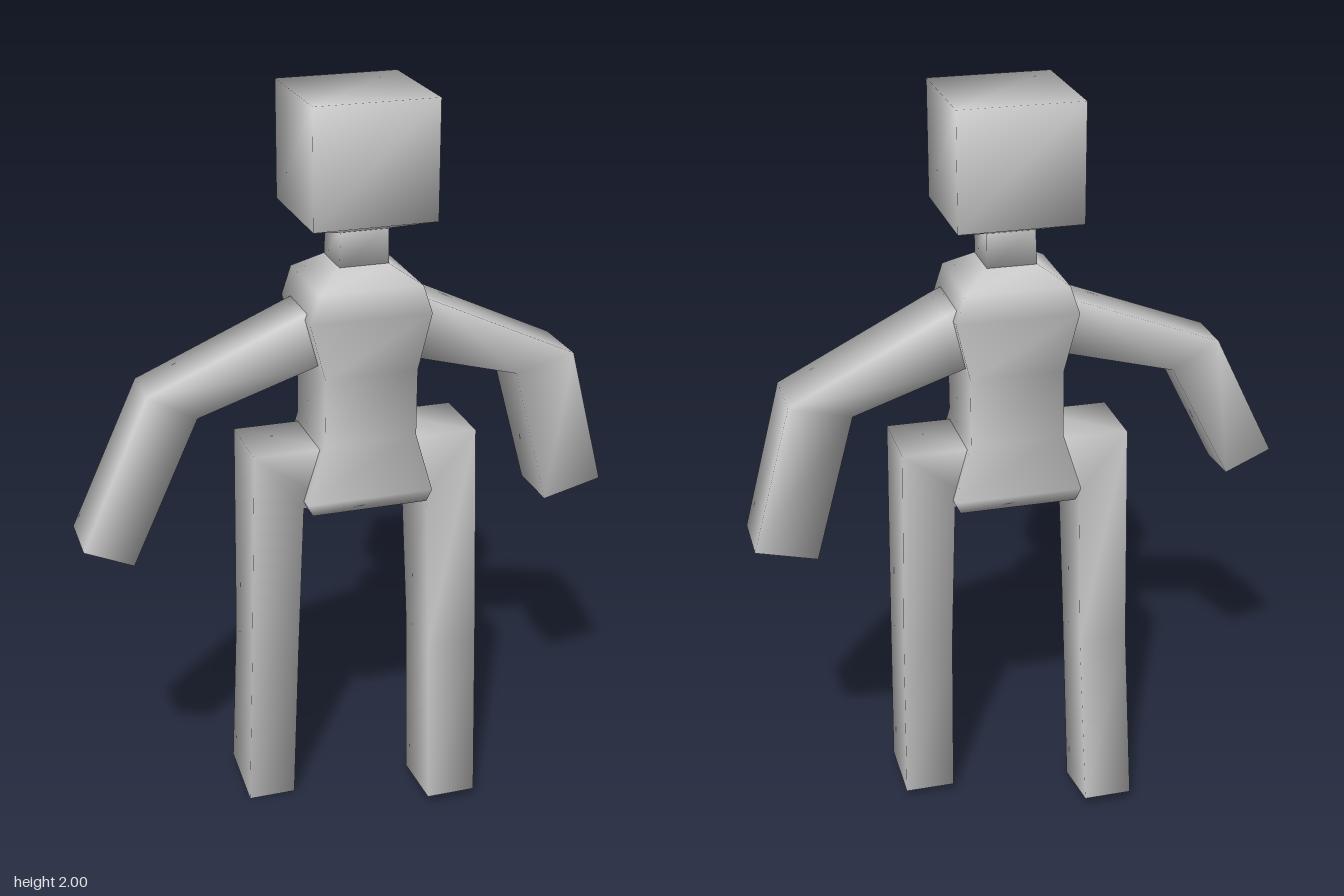
import * as THREE from 'three';

const material = new THREE.MeshStandardMaterial({ color: 0xcccccc });

// Smooth four-sided loft. Each section is [px, py, qx, qy, zBack, zFront, tilt]:
// an edge p-q in the xy plane spread over a depth range; tilt lifts the front.
function loft(name, sections) {
  const pos = [], idx = [];
  for (const [px, py, qx, qy, zb, zf, tilt = 0] of sections) {
    pos.push(px, py + tilt, zf, qx, qy + tilt, zf, qx, qy, zb, px, py, zb);
  }
  const last = (sections.length - 1) * 4;
  for (let r = 0; r < last; r += 4) {
    for (let i = 0; i < 4; i++) {
      const a = r + i, b = r + (i + 1) % 4;
      idx.push(a, b, b + 4, a, b + 4, a + 4);
    }
  }
  idx.push(0, 2, 1, 0, 3, 2, last, last + 1, last + 2, last, last + 2, last + 3);
  const geometry = new THREE.BufferGeometry();
  geometry.setAttribute('position', new THREE.Float32BufferAttribute(pos, 3));
  geometry.setIndex(idx);
  geometry.computeVertexNormals();
  const mesh = new THREE.Mesh(geometry, material);
  mesh.name = name;
  return mesh;
}

// Level section for the upright parts
const level = (y, x0, x1, zb, zf) => [x0, y, x1, y, zb, zf];

export function createModel() {
  const group = new THREE.Group();
  group.name = 'figure';

  group.add(
    // Pelvis, waist, chest and sloping shoulders
    loft('torso', [
      level(0.93, -0.125, 0.185, -0.10, 0.15),
      level(0.96, -0.14, 0.20, -0.10, 0.15),
      level(1.12, -0.09, 0.155, -0.10, 0.145),
      level(1.30, -0.09, 0.155, -0.10, 0.15),
      level(1.45, -0.13, 0.19, -0.10, 0.155),
      level(1.525, -0.105, 0.165, -0.10, 0.155),
      level(1.57, -0.035, 0.095, -0.04, 0.09),
    ]),
    loft('neck', [
      level(1.55, -0.035, 0.095, -0.04, 0.09),
      level(1.68, -0.03, 0.095, -0.04, 0.09),
    ]),
    // Block head with a tapered underside
    loft('head', [
      level(1.66, -0.03, 0.095, -0.04, 0.09),
      level(1.695, -0.13, 0.19, -0.135, 0.185),
      level(2.0, -0.13, 0.19, -0.135, 0.185),
    ]),
    // Arms: shoulder, elbow, hand
    loft('leftArm', [
      [0.13, 1.50, 0.13, 1.33, -0.07, 0.11],
      [0.21, 1.465, 0.19, 1.31, -0.07, 0.11],
      [0.615, 1.27, 0.455, 1.23, -0.09, 0.085],
      [0.72, 0.885, 0.56, 0.845, -0.095, 0.065],
    ]),
    loft('rightArm', [
      [-0.06, 1.34, -0.06, 1.49, -0.035, 0.11],
      [-0.11, 1.32, -0.14, 1.46, -0.035, 0.11],
      [-0.415, 1.23, -0.54, 1.30, -0.01, 0.13],
      [-0.60, 0.885, -0.725, 0.94, 0.04, 0.18, -0.01],
    ]),
    // Legs: sideways hip, thigh, knee, foot
    loft('leftLeg', [
      [0.12, 1.10, 0.12, 0.94, -0.08, 0.12],
      [0.33, 1.10, 0.195, 0.94, -0.08, 0.12],
      [0.33, 0.50, 0.195, 0.50, -0.02, 0.16],
      [0.33, 0.02, 0.195, 0.02, 0, 0.185, 0.01],
    ]),
    loft('rightLeg', [
      [-0.06, 0.94, -0.06, 1.10, -0.08, 0.12],
      [-0.14, 0.94, -0.27, 1.10, -0.08, 0.12],
      [-0.14, 0.50, -0.27, 0.50, -0.11, 0.06],
      [-0.14, 0.035, -0.27, 0.035, -0.185, 0, -0.035],
    ]),
  );
  return group;
}
